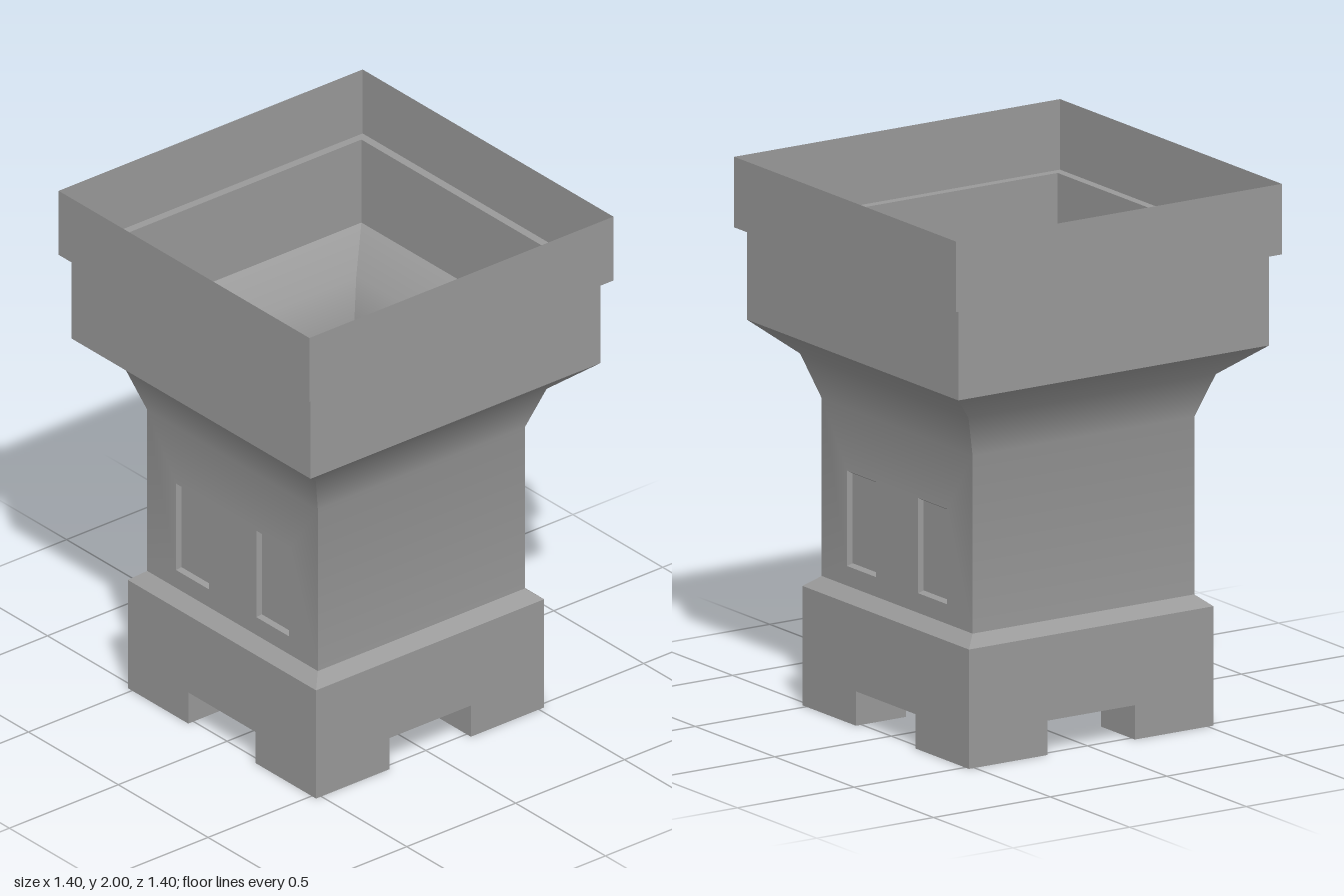
import * as THREE from 'three';
import { mergeGeometries } from 'three/addons/utils/BufferGeometryUtils.js';

const material = new THREE.MeshStandardMaterial({ color: 0x9a9a9a, side: THREE.DoubleSide });

// Key sizes
const BASE = 0.524, WALL = 0.475, BAND = 0.666, RIM = 0.698;
const NOTCH = 0.187, NOTCH_H = 0.126, POCKET = 0.31, POCKET_H = 0.19;

// Flat four-cornered face, corners anticlockwise as seen from its front
function quad(a, b, c, d) {
  const g = new THREE.BufferGeometry();
  g.setAttribute('position', new THREE.Float32BufferAttribute([a, b, c, a, c, d].flat(), 3));
  g.computeVertexNormals();
  return g;
}

// Flat outline, optionally with holes
function sheet(points, holes = []) {
  const toPoints = (list) => list.map(([x, y]) => new THREE.Vector2(x, y));
  const shape = new THREE.Shape(toPoints(points));
  for (const h of holes) shape.holes.push(new THREE.Path(toPoints(h)));
  const g = new THREE.ShapeGeometry(shape).toNonIndexed();
  g.deleteAttribute('uv');
  return g;
}

const rect = (x0, y0, x1, y1) => [[x0, y0], [x1, y0], [x1, y1], [x0, y1]];

// Sloping strip on the +z side between two square rings
const strip = ([r0, y0], [r1, y1]) =>
  quad([-r0, y0, r0], [r0, y0, r0], [r1, y1, r1], [-r1, y1, r1]);

// Upright panel with a notch in the middle of its lower edge
const notchedPanel = (half, top) => sheet([
  [-half, 0], [-NOTCH, 0], [-NOTCH, NOTCH_H], [NOTCH, NOTCH_H],
  [NOTCH, 0], [half, 0], [half, top], [-half, top],
]);

// Copies of a +z side piece turned around the tower
const turned = (g, turns = [0, 1, 2, 3]) => turns.map((t) => g.clone().rotateY(t * Math.PI / 2));

// Smooth shading up a +z side: normals tip downwards as the flare opens
function smoothFlare(g) {
  const { position, normal } = g.attributes;
  for (let i = 0; i < position.count; i++) {
    const y = position.getY(i);
    const tilt = y < 1.12 ? 0 : y < 1.2 ? 0.17 : y < 1.35 ? 0.6 : 0.86;
    normal.setXYZ(i, 0, -Math.sin(tilt), Math.cos(tilt));
  }
  return g;
}

function addPart(group, name, pieces) {
  const mesh = new THREE.Mesh(mergeGeometries(pieces), material);
  mesh.name = name;
  group.add(mesh);
}

export function createModel() {
  const group = new THREE.Group();
  group.name = 'tower';

  // Base: notched outer walls and the chamfer leading to the shaft
  addPart(group, 'base', [
    ...turned(notchedPanel(BASE, 0.438).translate(0, 0, BASE)),
    ...turned(strip([BASE, 0.438], [WALL, 0.478])),
  ]);

  // Feet: L-shaped soles around the central pocket
  const sole = sheet([
    [NOTCH, POCKET], [POCKET, POCKET], [POCKET, NOTCH],
    [BASE, NOTCH], [BASE, BASE], [NOTCH, BASE],
  ]).rotateX(Math.PI / 2);
  addPart(group, 'feet', turned(sole));

  // Channels between the feet: ceiling and two side walls
  const channel = [
    sheet(rect(-NOTCH, POCKET, NOTCH, BASE)).rotateX(Math.PI / 2).translate(0, NOTCH_H, 0),
    quad([-NOTCH, 0, BASE], [-NOTCH, 0, POCKET], [-NOTCH, NOTCH_H, POCKET], [-NOTCH, NOTCH_H, BASE]),
    quad([NOTCH, 0, POCKET], [NOTCH, 0, BASE], [NOTCH, NOTCH_H, BASE], [NOTCH, NOTCH_H, POCKET]),
  ];
  addPart(group, 'channels', channel.flatMap((g) => turned(g)));

  // Pocket under the floor
  const pocketWall = notchedPanel(POCKET, POCKET_H).rotateY(Math.PI).translate(0, 0, POCKET);
  addPart(group, 'pocket', [
    ...turned(pocketWall),
    sheet(rect(-POCKET, -POCKET, POCKET, POCKET)).rotateX(Math.PI / 2).translate(0, POCKET_H, 0),
  ]);

  // Shaft: plain sides, window openings front and back, flared top
  const openings = [-0.315, 0.132].map((x) => rect(x, 0.55, x + 0.183, 0.9));
  const face = sheet(rect(-WALL, 0.478, WALL, 1.13), openings).translate(0, 0, WALL);
  const flare = [[WALL, 1.13], [0.53, 1.29], [BAND, 1.405]];
  addPart(group, 'shaft', [
    ...turned(smoothFlare(face), [0, 2]),
    ...turned(smoothFlare(strip([WALL, 0.478], flare[0])), [1, 3]),
    ...turned(smoothFlare(strip(flare[0], flare[1]))),
    ...turned(smoothFlare(strip(flare[1], flare[2]))),
  ]);

  // Windows: shallow recesses with bevelled edges
  const windows = [];
  for (const o of openings) {
    const depth = 0.017, b = 0.01;
    const inner = rect(o[0][0] + b, o[0][1] + b, o[2][0] - b, o[2][1] - b);
    windows.push(sheet(inner).translate(0, 0, WALL - depth));
    for (let i = 0; i < 4; i++) {
      const j = (i + 1) % 4;
      windows.push(quad([...o[i], WALL], [...o[j], WALL],
        [...inner[j], WALL - depth], [...inner[i], WALL - depth]));
    }
  }
  addPart(group, 'windows', windows.flatMap((g) => turned(g, [0, 2])));

  // Open top: lower band, ledge and rim
  const crown = [[BAND, 1.405], [BAND, 1.741], [RIM, 1.741], [RIM, 2]];
  addPart(group, 'crown', crown.slice(1).flatMap((p, i) => turned(strip(crown[i], p))));

  return group;
}
